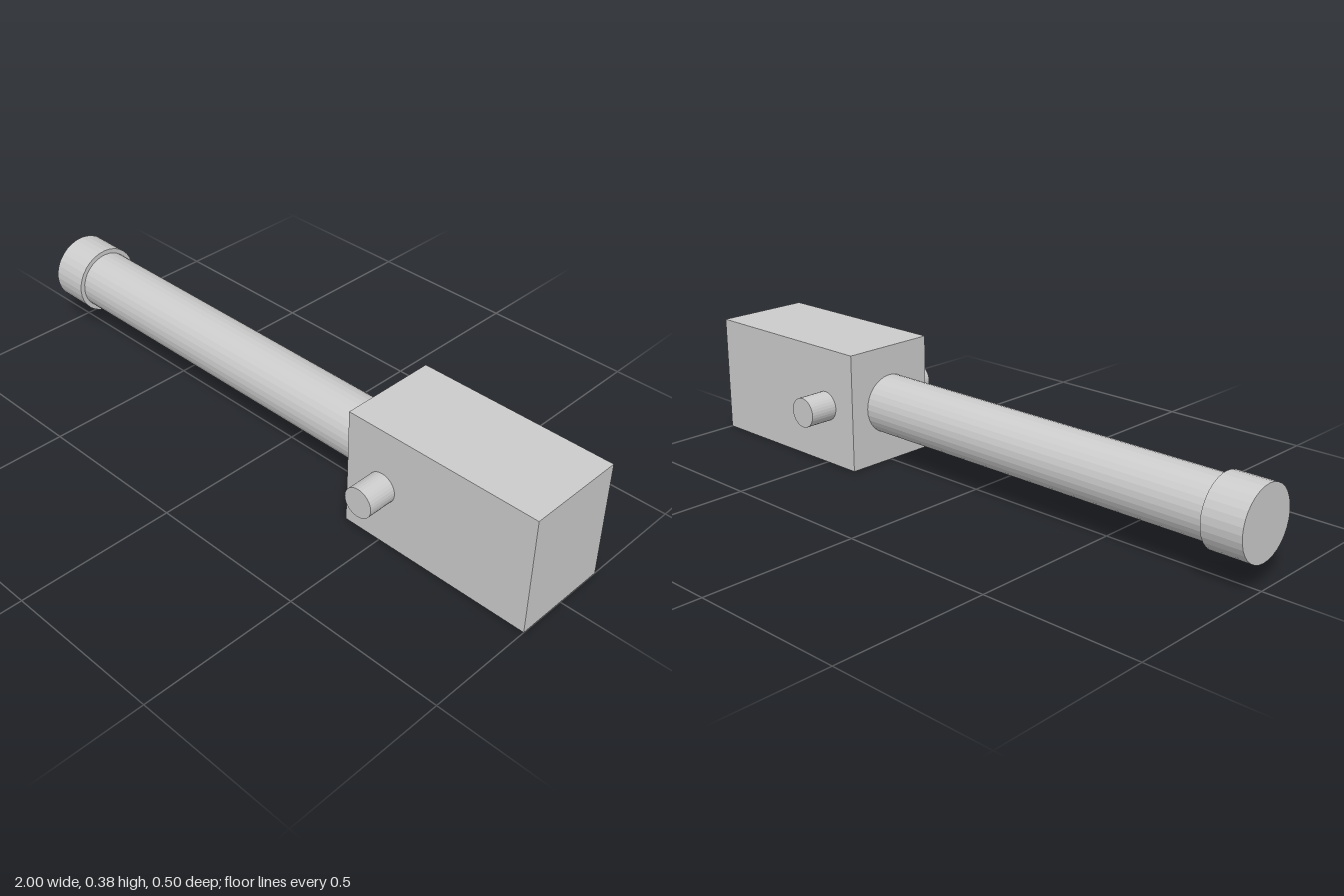
import * as THREE from 'three';

const AXIS_Y = 0.1875; // shared centre height of all parts

export function createModel() {
  const group = new THREE.Group();
  const material = new THREE.MeshStandardMaterial({ color: 0xcccccc, flatShading: true });

  const add = (name, geometry, x, z = 0) => {
    const mesh = new THREE.Mesh(geometry, material);
    mesh.name = name;
    mesh.position.set(x, AXIS_Y, z);
    group.add(mesh);
  };

  // Cylinder lying along x, from x0 to x1
  const rodX = (name, radius, x0, x1) =>
    add(name, new THREE.CylinderGeometry(radius, radius, x1 - x0, 32).rotateZ(Math.PI / 2), (x0 + x1) / 2);

  // Rear housing block
  add('housing', new THREE.BoxGeometry(0.625, 0.375, 0.3125), 0.6875);

  // Long tube and the wider collar at its end
  rodX('barrel', 0.094, -0.875, 0.375);
  rodX('endCollar', 0.109, -1, -0.875);

  // Pivot pins on both sides of the housing
  for (const side of [1, -1]) {
    const pin = new THREE.CylinderGeometry(0.047, 0.047, 0.094, 32).rotateX(Math.PI / 2);
    add(side > 0 ? 'frontPin' : 'backPin', pin, 0.5, side * 0.203);
  }

  return group;
}
